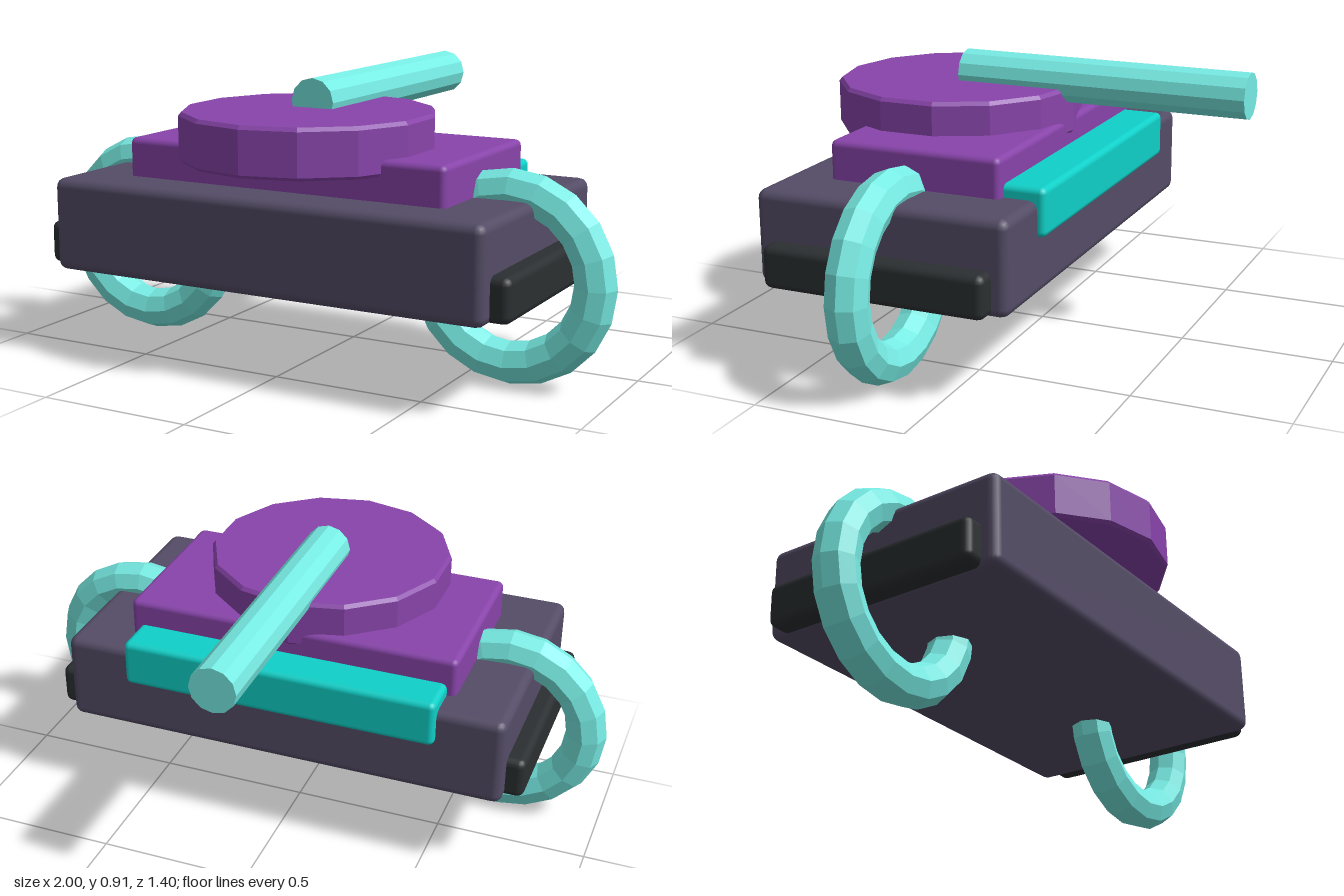
import * as THREE from 'three';
import { RoundedBoxGeometry } from 'three/addons/geometries/RoundedBoxGeometry.js';

const mat = (color, flatShading = false) => new THREE.MeshStandardMaterial({ color, flatShading });

export function createModel() {
  const model = new THREE.Group();
  const slate = mat(0x544c66), black = mat(0x2b2f31), purple = mat(0x8844aa);
  const purpleFlat = mat(0x8844aa, true), teal = mat(0x0fd0c8), aqua = mat(0x77ece4, true);

  const add = (name, geometry, material, x = 0, y = 0, z = 0) => {
    const mesh = new THREE.Mesh(geometry, material);
    mesh.name = name;
    mesh.position.set(x, y, z);
    model.add(mesh);
    return mesh;
  };

  // Soft-edged box given by its limits on each axis
  const box = (name, material, [x0, x1], [y0, y1], [z0, z1], r) =>
    add(name, new RoundedBoxGeometry(x1 - x0, y1 - y0, z1 - z0, 2, r), material,
      (x0 + x1) / 2, (y0 + y1) / 2, (z0 + z1) / 2);

  // Body, upper deck and rear panel
  box('hull', slate, [-0.75, 0.75], [0.29, 0.59], [-0.21, 0.63], 0.03);
  box('upperDeck', purple, [-0.56, 0.56], [0.48, 0.715], [-0.1, 0.475], 0.02);
  box('rearPanel', teal, [-0.53, 0.53], [0.475, 0.63], [-0.235, -0.06], 0.02);

  // Fourteen-sided turret disc with a fine bevel
  const profile = [[0, 0.665], [0.395, 0.665], [0.405, 0.675], [0.405, 0.81], [0.395, 0.822], [0, 0.822]]
    .map(([r, y]) => new THREE.Vector2(r, y));
  add('turret', new THREE.LatheGeometry(profile, 14), purpleFlat, 0, 0, 0.295);

  // Barrel pointing to the rear
  const barrel = add('barrel', new THREE.CylinderGeometry(0.075, 0.075, 0.97, 12), aqua, 0, 0.841, -0.215);
  barrel.rotation.x = Math.PI / 2;

  // Side skirts and ring wheels, mirrored
  for (const [side, s] of [['left', 1], ['right', -1]]) {
    const xs = s > 0 ? [0.65, 0.81] : [-0.81, -0.65];
    box(side + 'Skirt', black, xs, [0.297, 0.435], [-0.16, 0.58], 0.025);
    add(side + 'Ring', new THREE.TorusGeometry(0.268, 0.068, 8, 20), aqua, s * 0.662, 0.343, 0.213);
  }
  return model;
}
